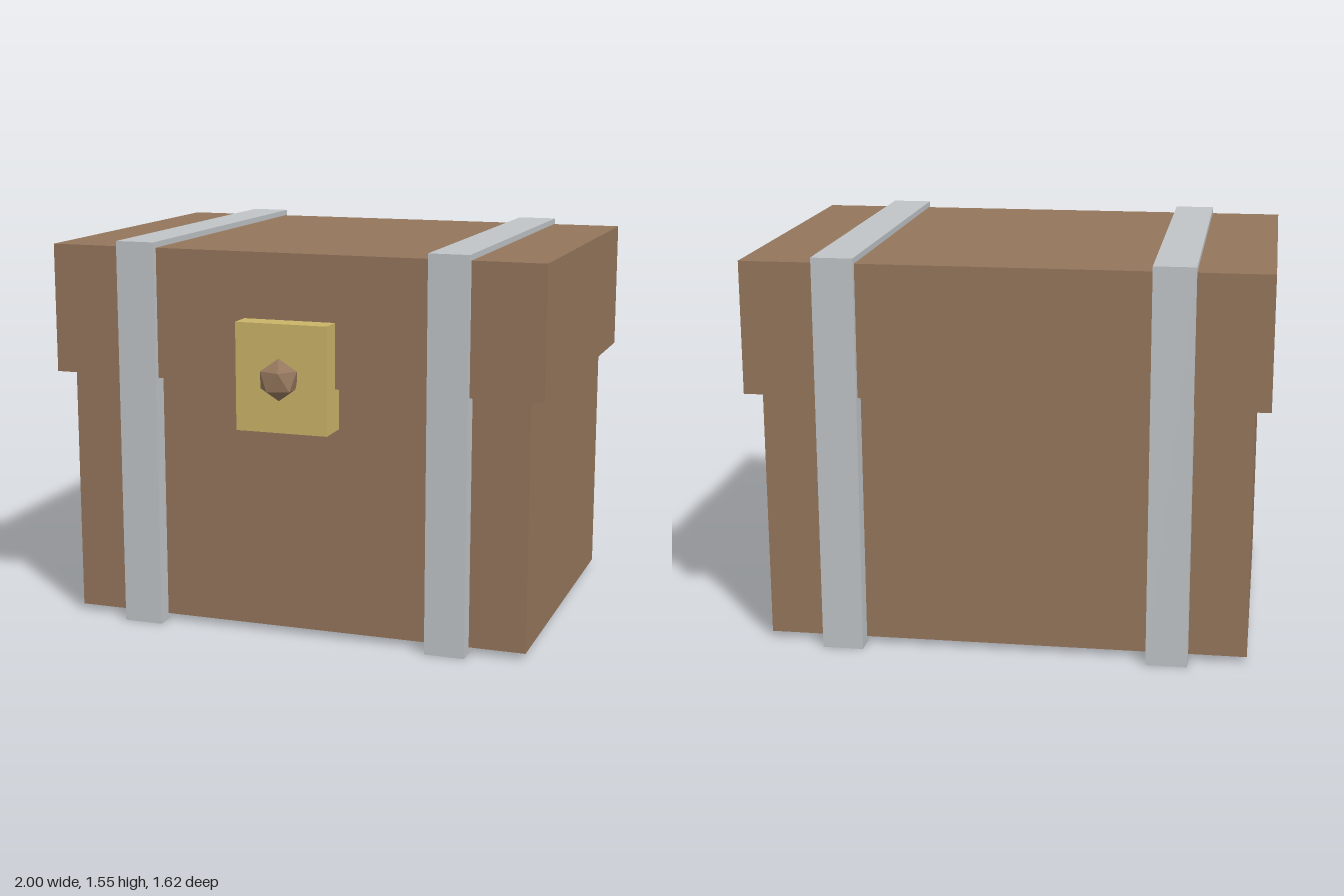
import * as THREE from 'three';

const mat = (name, color) => {
  const m = new THREE.MeshStandardMaterial({ color });
  m.name = name;
  return m;
};

export function createModel() {
  const group = new THREE.Group();
  group.name = 'chest';
  const wood = mat('woodBrown', 0x93755b);
  const steel = mat('steelGrey', 0xbfc3c6);
  const brass = mat('brassYellow', 0xc9b368);

  // Box given by its limits on each axis
  const box = (name, material, [x0, x1], [y0, y1], [z0, z1]) => {
    const geo = new THREE.BoxGeometry(x1 - x0, y1 - y0, z1 - z0);
    const mesh = new THREE.Mesh(geo, material);
    mesh.position.set((x0 + x1) / 2, (y0 + y1) / 2, (z0 + z1) / 2);
    mesh.name = name;
    group.add(mesh);
  };

  // Body and overhanging lid
  box('body', wood, [-0.94, 0.94], [0.025, 1.02], [-0.74, 0.58]);
  box('lid', wood, [-1, 1], [1.015, 1.53], [-0.79, 0.625]);

  // Metal straps running right around the chest
  for (const [name, x] of [['rightStrap', -0.635], ['leftStrap', 0.635]]) {
    box(name, steel, [x - 0.08, x + 0.08], [0, 1.553], [-0.812, 0.647]);
  }

  // Lock plate
  box('lockPlate', brass, [-0.185, 0.185], [0.85, 1.272], [0.56, 0.72]);

  // Faceted knob, turned so that one corner points straight up
  const knobGeo = new THREE.IcosahedronGeometry(0.082, 0);
  knobGeo.rotateZ(-Math.atan(2 / (1 + Math.sqrt(5))));
  knobGeo.computeVertexNormals();
  const knob = new THREE.Mesh(knobGeo, wood);
  knob.position.set(0, 1.062, 0.743);
  knob.name = 'lockKnob';
  group.add(knob);

  return group;
}
